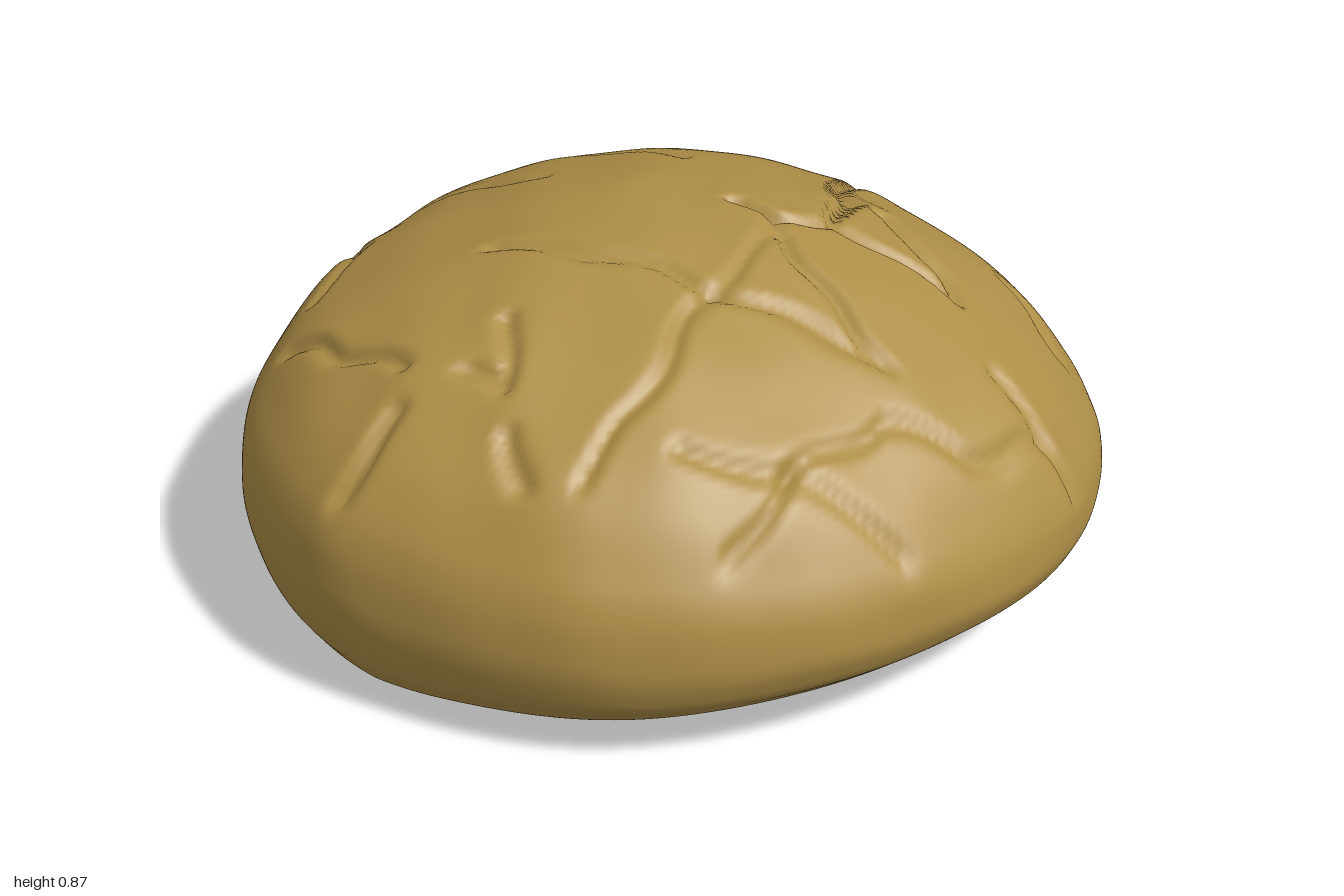
import * as THREE from 'three';

// Outline radius every 22.5 degrees, from +x towards +z
const OUTLINE = [0.995, 1.0, 0.998, 0.965, 0.96, 0.972, 0.97, 1.0,
  0.995, 0.955, 0.935, 0.96, 0.966, 0.985, 0.98, 0.98];

// Cross-section from the base centre to the crown: radius, height, share of the base bend
const PROFILE = [
  [0, 0, 1], [0.4, 0, 1], [0.76, 0, 1], [0.88, 0.02, 0.95], [0.945, 0.085, 0.75],
  [0.985, 0.18, 0.35], [1, 0.285, 0], [0.985, 0.38, -0.15], [0.945, 0.465, -0.25],
  [0.86, 0.57, -0.2], [0.68, 0.70, -0.1], [0.4, 0.815, 0], [0.17, 0.868, 0], [0, 0.876, 0],
];

// Crust cracks as [depth, x, z, x, z, ...] seen from above
const CRACKS = [
  [0.026, 0.62, -0.67, 0.65, -0.55, 0.67, -0.43, 0.57, -0.3, 0.48, -0.19, 0.45, -0.05, 0.33, 0.12, 0.2, 0.11, 0.16, 0.04],
  [0.018, 0.2, 0.2, 0.23, 0.38, 0.31, 0.57, 0.09, 0.4, 0, 0.36, -0.18, 0.2, -0.4, 0],
  [0.015, -0.4, 0.67, -0.26, 0.59, -0.12, 0.45, 0, 0.36, 0.16, 0.2, 0.2, 0.11],
  [0.02, 0.36, 0.14, 0.57, 0.32, 0.55, 0.13, 0.49, 0],
  [0.013, -0.4, -0.65, -0.3, -0.68, -0.15, -0.71, 0.08, -0.76],
  [0.018, -0.6, -0.56, -0.63, -0.4, -0.76, -0.25],
  [0.02, -0.85, -0.08, -0.77, 0.1, -0.67, 0.26],
  [0.022, -0.83, 0.4, -0.69, 0.36],
  [0.02, -0.55, 0.34, -0.5, 0.42, -0.43, 0.28],
  [0.02, -0.5, 0.52, -0.52, 0.64],
  [0.016, -0.18, 0.7, 0, 0.78, 0.25, 0.68, 0.45, 0.72, 0.66, 0.64],
  [0.018, 0.78, -0.35, 0.89, -0.4],
  [0.01, -0.13, -0.62, 0.0, -0.48, 0.14, -0.3],
  [0.014, 0.8, 0.1, 0.85, 0.3],
  [0.014, 0, 0.78, -0.15, 0.88],
  [0.014, 0, 0.78, 0.22, 0.87],
  [0.014, 0.57, 0.53, 0.7, 0.67],
  [0.01, -0.4, -0.55, -0.2, -0.35],
  [0.01, 0.02, -0.8, 0, -0.92],
];

function outlineRadius(t) {
  const n = OUTLINE.length, i = Math.floor(t * n), f = t * n - i;
  const [a, b, c, d] = [-1, 0, 1, 2].map(k => OUTLINE[(i + k + n) % n]);
  return b + 0.5 * f * (c - a + f * (2 * a - 5 * b + 4 * c - d + f * (3 * (b - c) + d - a)));
}

// The underside arches, lowest towards -x
const baseHeight = x => Math.max(0, 0.12 - 0.083 * (x - 0.4) ** 2);

// The crust leans up towards -x and +z
const crustTilt = (x, y, z) => (0.02 * z - 0.03 * x) * THREE.MathUtils.smoothstep(y, 0.15, 0.45);

function segmentDistance(x, z, ax, az, bx, bz) {
  const dx = bx - ax, dz = bz - az;
  const t = THREE.MathUtils.clamp(((x - ax) * dx + (z - az) * dz) / (dx * dx + dz * dz), 0, 1);
  return Math.hypot(x - ax - t * dx, z - az - t * dz);
}

// Narrow grooves with softly raised lips
function crackOffset(x, z) {
  const wx = x + 0.014 * Math.sin(23 * z + 9 * x), wz = z + 0.014 * Math.sin(21 * x - 8 * z);
  let offset = 0;
  for (const [depth, ...p] of CRACKS) {
    let dist = Infinity;
    for (let i = 0; i + 3 < p.length; i += 2) {
      dist = Math.min(dist, segmentDistance(wx, wz, p[i], p[i + 1], p[i + 2], p[i + 3]));
    }
    offset += depth * (0.35 * Math.exp(-((dist / 0.08) ** 2)) - 1.1 * Math.exp(-((dist / 0.018) ** 2)));
  }
  return THREE.MathUtils.clamp(offset, -0.025, 0.012);
}

// Gentle unevenness of the dough
const lumps = (x, y, z) => 0.005 * Math.sin(7 * x + 3 * z + 1) * Math.sin(6 * z - 4 * y)
  + 0.003 * Math.sin(15 * x - 6 * z + 5 * y) * Math.sin(13 * z + 8 * x);

function loafGeometry() {
  const rows = 190, cols = 320;
  const curve = new THREE.CatmullRomCurve3(PROFILE.map(p => new THREE.Vector3(...p)));
  const positions = [], indices = [];
  curve.getSpacedPoints(rows).forEach((p, i) => {
    for (let j = 0; j < cols; j++) {
      const angle = j / cols * Math.PI * 2, r = Math.max(p.x, 0) * outlineRadius(j / cols);
      const x = r * Math.cos(angle), z = r * Math.sin(angle);
      positions.push(x, p.y + p.z * baseHeight(x) + crustTilt(x, p.y, z), z);
      if (i < rows) {
        const a = i * cols + j, b = i * cols + (j + 1) % cols;
        indices.push(a, a + cols, b, b, a + cols, b + cols);
      }
    }
  });
  const geometry = new THREE.BufferGeometry();
  geometry.setAttribute('position', new THREE.Float32BufferAttribute(positions, 3));
  geometry.setIndex(indices);
  geometry.computeVertexNormals();

  // Press cracks and lumps into the upper crust along the normals
  const pos = geometry.attributes.position, nor = geometry.attributes.normal;
  const v = new THREE.Vector3(), n = new THREE.Vector3();
  for (let i = 0; i < pos.count; i++) {
    v.fromBufferAttribute(pos, i);
    n.fromBufferAttribute(nor, i);
    const upper = THREE.MathUtils.smoothstep(n.y, 0.0, 0.35);
    const crust = THREE.MathUtils.smoothstep(n.y, -0.6, 0.3);
    const amount = upper * crackOffset(v.x, v.z) + crust * lumps(v.x, v.y, v.z);
    v.addScaledVector(n, amount);
    pos.setXYZ(i, v.x, v.y, v.z);
  }
  geometry.computeVertexNormals();
  return geometry;
}

export function createModel() {
  const crust = new THREE.MeshStandardMaterial({ color: 0xae8e47 });
  crust.name = 'golden crust';
  const loaf = new THREE.Mesh(loafGeometry(), crust);
  loaf.name = 'loaf';
  const group = new THREE.Group();
  group.name = 'roundBread';
  group.add(loaf);
  return group;
}
